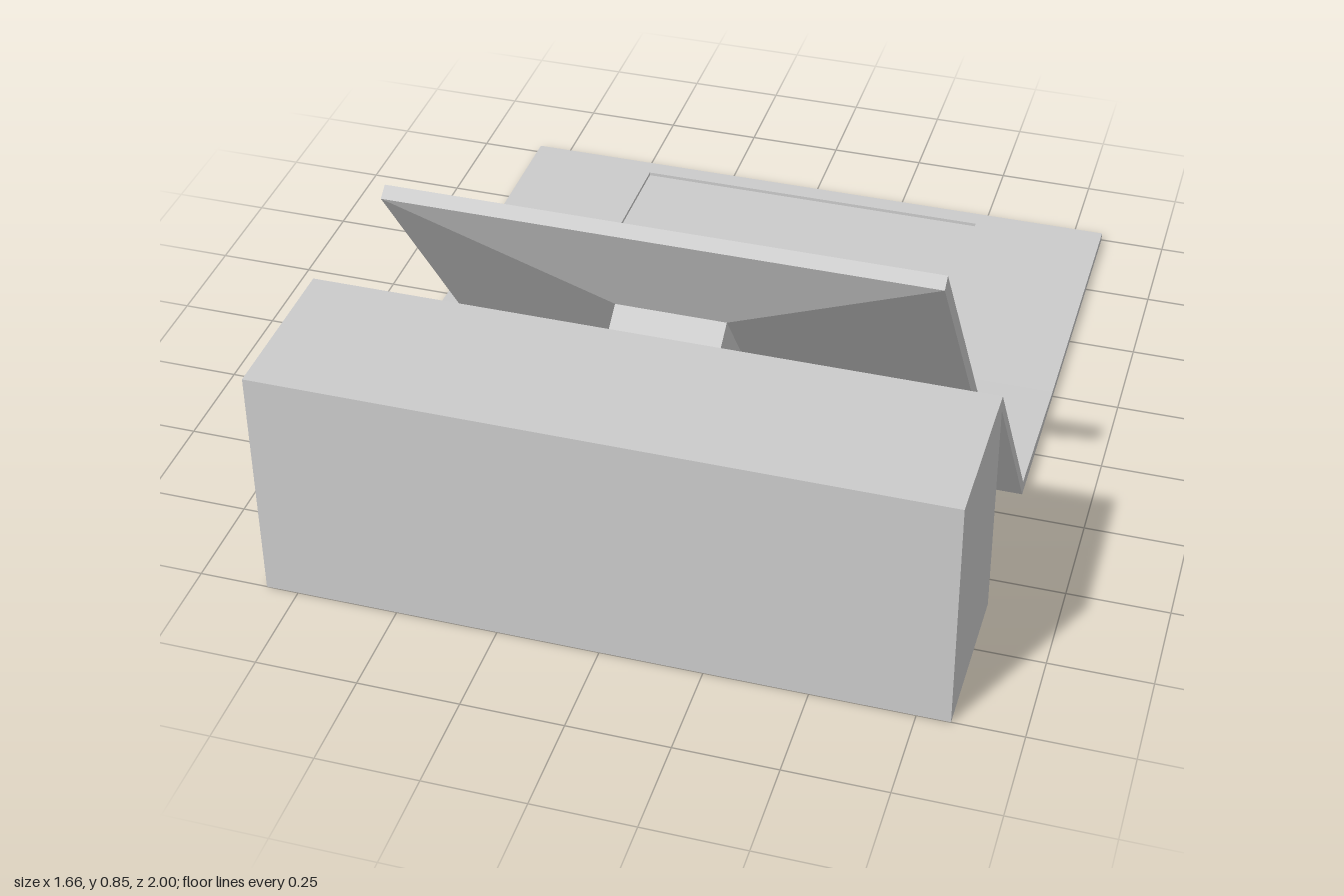
import * as THREE from 'three';

const WIDTH = 1.66;
const material = new THREE.MeshStandardMaterial({ color: 0xcccccc, flatShading: true });

function addMesh(parent, name, geometry) {
  const mesh = new THREE.Mesh(geometry, material);
  mesh.name = name;
  parent.add(mesh);
  return mesh;
}

// Trace a rectangle on a shape or path
function rect(path, x0, y0, x1, y1) {
  path.moveTo(x0, y0);
  path.lineTo(x1, y0);
  path.lineTo(x1, y1);
  path.lineTo(x0, y1);
  path.closePath();
  return path;
}

// Plate facing +z with its back on z = 0 and a shallow rectangular recess
function recessedPlate(name, w, h, thickness, depth, hole) {
  const group = new THREE.Group();
  group.name = name;
  const floor = thickness - depth;
  addMesh(group, name + 'Base', new THREE.BoxGeometry(w, h, floor).translate(0, 0, floor / 2));
  const shape = rect(new THREE.Shape(), -w / 2, -h / 2, w / 2, h / 2);
  shape.holes.push(rect(new THREE.Path(), ...hole));
  const rim = new THREE.ExtrudeGeometry(shape, { depth, bevelEnabled: false });
  addMesh(group, name + 'Rim', rim.translate(0, 0, floor));
  return group;
}

export function createModel() {
  const model = new THREE.Group();
  model.name = 'console';

  // Tall block at the front
  addMesh(model, 'frontBlock', new THREE.BoxGeometry(WIDTH, 0.617, 0.412).translate(0, 0.3085, 0.794));

  // Bent sheet: sloping back rest running into the tapered desk (z, y profile)
  const profile = new THREE.Shape([
    [0.588, 0.617], [0.165, 0.04], [-0.24, 0.022], [-0.24, 0], [0.165, 0], [0.588, 0.577],
  ].map(([z, y]) => new THREE.Vector2(z, y)));
  const sheet = new THREE.ExtrudeGeometry(profile, { depth: WIDTH, bevelEnabled: false });
  addMesh(model, 'slopedSheet', sheet.rotateY(-Math.PI / 2).translate(WIDTH / 2, 0, 0));

  // Flat desk with the keyboard recess
  const desk = recessedPlate('desk', WIDTH, 0.76, 0.022, 0.009, [-0.48, -0.315, 0.48, 0.33]);
  desk.rotation.x = -Math.PI / 2;
  desk.position.z = -0.62;
  model.add(desk);

  // Tilted screen, facing up and back
  const screen = new THREE.Group();
  screen.name = 'screen';
  screen.rotation.set(-0.627, Math.PI, 0, 'YXZ');
  screen.position.set(0, 0.4455, 0.24);
  model.add(screen);
  screen.add(recessedPlate('display', 1.344, 0.94, 0.036, 0.012, [-0.632, -0.428, 0.632, 0.428]));

  // Housing behind the display, tapering to the neck
  const neckY = -0.017, neckW = 0.276, neckH = 0.415, depth = 0.072;
  const housing = new THREE.BoxGeometry(1.344, 0.94, depth).translate(0, 0, -depth / 2);
  const p = housing.attributes.position;
  for (let i = 0; i < p.count; i++) {
    if (p.getZ(i) > -depth / 2) continue;
    p.setXY(i, Math.sign(p.getX(i)) * neckW / 2, Math.sign(p.getY(i)) * neckH / 2 + neckY);
  }
  housing.computeVertexNormals();
  addMesh(screen, 'taperedHousing', housing);

  // Neck joining the housing to the sloped sheet
  addMesh(screen, 'neck', new THREE.BoxGeometry(neckW, neckH, 0.116).translate(0, neckY, -depth - 0.058));

  return model;
}
